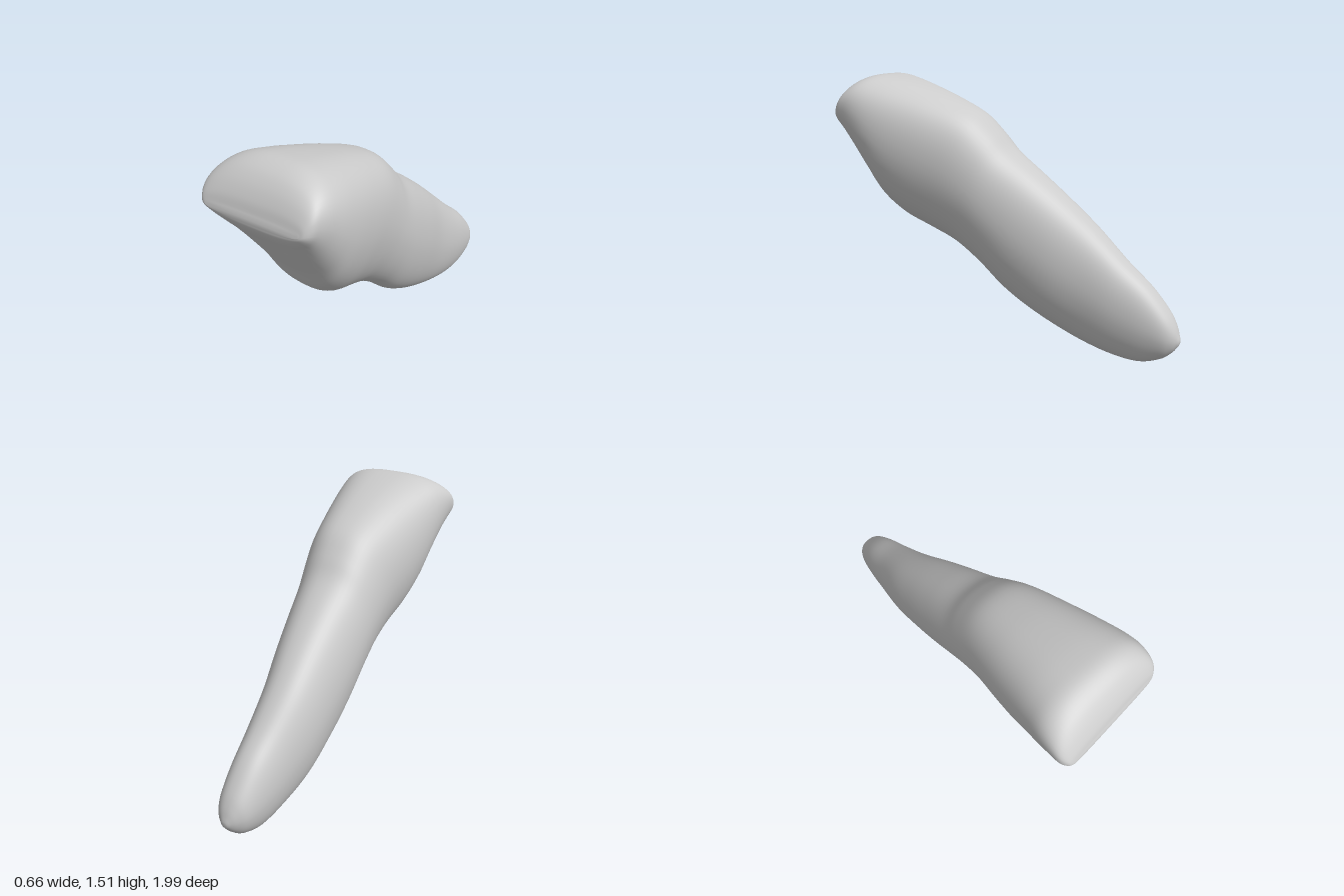
import * as THREE from 'three';

// Cross-sections from root tip to cutting edge:
// [top z, top y, bottom z, bottom y, min x, max x]
const SECTIONS = [
  [-0.99, 0.17, -0.985, 0.13, -0.13, -0.09],
  [-0.965, 0.24, -0.95, 0.085, -0.17, -0.05],
  [-0.92, 0.315, -0.89, 0.04, -0.205, -0.02],
  [-0.82, 0.43, -0.77, 0.003, -0.23, 0.005],
  [-0.68, 0.55, -0.6, 0.02, -0.25, 0.03],
  [-0.5, 0.72, -0.4, 0.08, -0.275, 0.06],
  [-0.33, 0.87, -0.18, 0.19, -0.28, 0.11],
  [-0.17, 1.0, 0.0, 0.31, -0.28, 0.15],
  [-0.03, 1.11, 0.15, 0.45, -0.28, 0.18],
  [0.06, 1.21, 0.3, 0.56, -0.28, 0.205],
  [0.17, 1.31, 0.45, 0.63, -0.283, 0.235],
  [0.34, 1.39, 0.6, 0.7, -0.3, 0.275],
  [0.52, 1.455, 0.71, 0.8, -0.315, 0.31],
  [0.66, 1.495, 0.78, 0.93, -0.325, 0.328],
  [0.76, 1.51, 0.86, 1.06, -0.333, 0.33],
  [0.84, 1.488, 0.915, 1.15, -0.333, 0.322],
  [0.9, 1.44, 0.955, 1.21, -0.325, 0.31],
  [0.945, 1.375, 0.975, 1.25, -0.3, 0.285],
  [0.968, 1.315, 0.978, 1.275, -0.27, 0.255],
];

const RINGS = 90;
const SIDES = 56;

const curveThrough = (pick) =>
  new THREE.CatmullRomCurve3(SECTIONS.map((s) => new THREE.Vector3(...pick(s))), false, 'catmullrom', 0.5);

// Rounded-box style power curve for superellipse sections
const power = (v, e) => Math.sign(v) * Math.pow(Math.abs(v), e);

function toothGeometry() {
  const topCurve = curveThrough((s) => [0, s[1], s[0]]);
  const bottomCurve = curveThrough((s) => [0, s[3], s[2]]);
  const widthCurve = curveThrough((s) => [s[4], s[5], 0]);
  const positions = [];
  const index = [];

  for (let i = 0; i <= RINGS; i++) {
    const u = i / RINGS;
    const top = topCurve.getPoint(u);
    const bottom = bottomCurve.getPoint(u);
    const width = widthCurve.getPoint(u);
    const crown = THREE.MathUtils.smoothstep(u, 0.45, 0.85);
    const exponent = 2 / (2.3 + 0.5 * crown);
    const cx = (width.x + width.y) / 2;
    const hw = (width.y - width.x) / 2;
    for (let j = 0; j < SIDES; j++) {
      const a = (j / SIDES) * Math.PI * 2;
      const v = power(Math.sin(a), exponent);
      // the inner face is a little narrower than the outer one
      const taper = 1 - 0.14 * Math.max(0, -v) * (1 - THREE.MathUtils.smoothstep(u, 0.75, 0.95));
      const x = cx + hw * taper * power(Math.cos(a), exponent);
      const p = bottom.clone().lerp(top, (v + 1) / 2);
      // the cutting edge runs slightly askew
      const skew = 0.1 * THREE.MathUtils.smoothstep(u, 0.7, 1);
      positions.push(x, p.y, p.z - skew * x);
    }
  }

  // Skin between neighbouring rings
  for (let i = 0; i < RINGS; i++) {
    for (let j = 0; j < SIDES; j++) {
      const k = (j + 1) % SIDES;
      const a = i * SIDES + j, b = i * SIDES + k;
      index.push(a, b, a + SIDES, b, b + SIDES, a + SIDES);
    }
  }

  // Close both ends with a centre point
  const addCap = (ring, flip) => {
    const s = SECTIONS[flip ? 0 : SECTIONS.length - 1];
    const centre = positions.length / 3;
    positions.push((s[4] + s[5]) / 2, (s[1] + s[3]) / 2, (s[0] + s[2]) / 2 + (flip ? -0.005 : 0.006));
    for (let j = 0; j < SIDES; j++) {
      const a = ring * SIDES + j, b = ring * SIDES + ((j + 1) % SIDES);
      index.push(centre, flip ? b : a, flip ? a : b);
    }
  };
  addCap(0, true);
  addCap(RINGS, false);

  const geometry = new THREE.BufferGeometry();
  geometry.setAttribute('position', new THREE.Float32BufferAttribute(positions, 3));
  geometry.setIndex(index);
  geometry.computeVertexNormals();
  return geometry;
}

export function createModel() {
  const enamel = new THREE.MeshStandardMaterial({ color: 0xcccccc });
  enamel.name = 'paleGrey';
  const tooth = new THREE.Mesh(toothGeometry(), enamel);
  tooth.name = 'incisorTooth';
  const group = new THREE.Group();
  group.name = 'tooth';
  group.add(tooth);
  return group;
}
